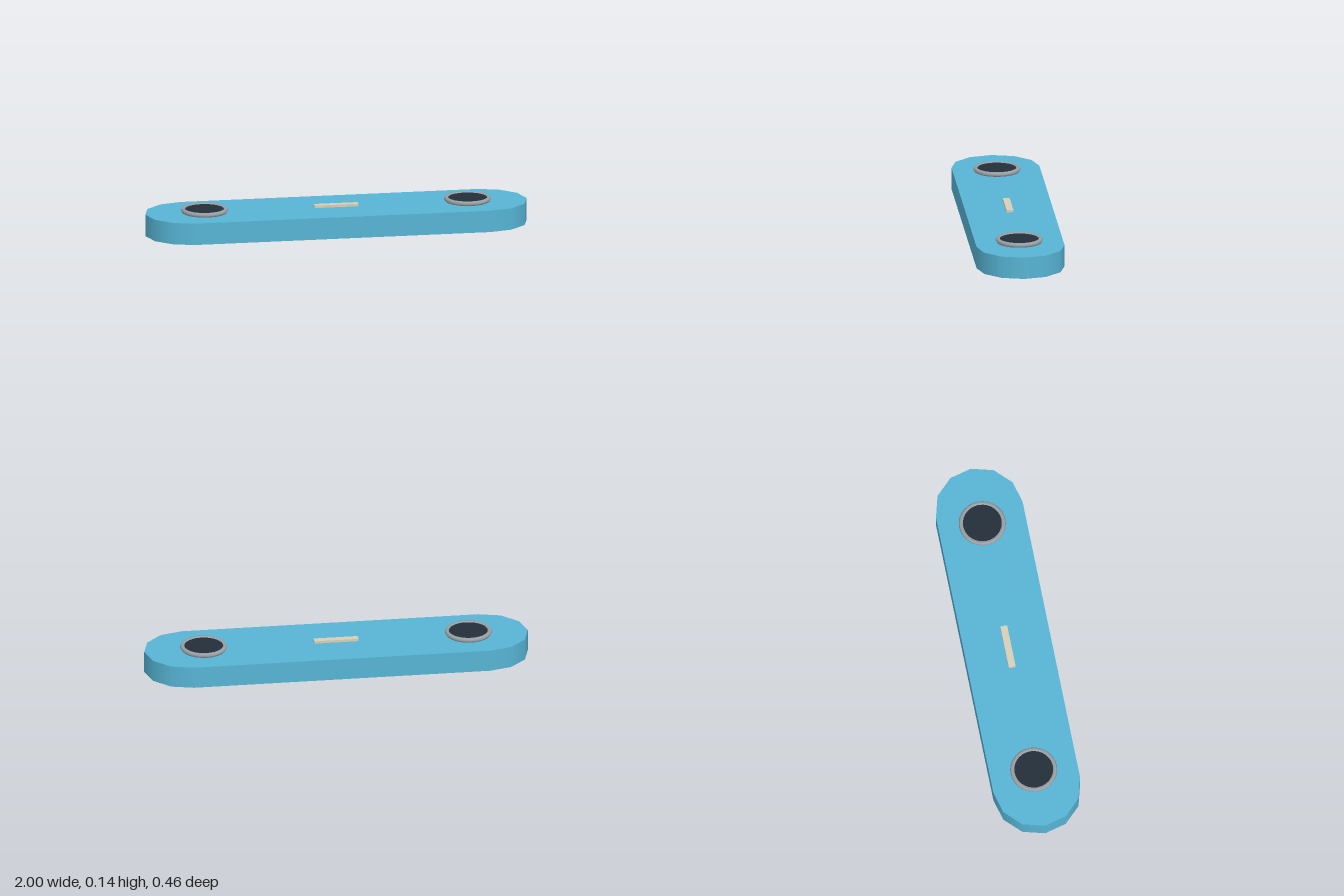
import * as THREE from 'three';

const mat = (name, color) => new THREE.MeshStandardMaterial({ name, color });

export function createModel() {
  const group = new THREE.Group();
  group.name = 'roundedBar';
  const blue = mat('blue body', 0x57b5d5);
  const metal = mat('grey metal', 0x9aa3a8);
  const dark = mat('dark recess', 0x242f3a);
  const cream = mat('cream plate', 0xd6cfb8);

  const add = (name, geometry, material, x, y) => {
    const mesh = new THREE.Mesh(geometry, material);
    mesh.name = name;
    mesh.position.set(x, y, 0);
    group.add(mesh);
  };

  const H = 0.114, R = 0.228, END = 1 - R, HOLE = 0.69;

  // Straight middle of the bar
  add('barMiddle', new THREE.BoxGeometry(2 * END, H, 2 * R), blue, 0, H / 2);

  for (const side of [1, -1]) {
    const label = side > 0 ? 'left' : 'right';
    // Half-round end
    const start = side > 0 ? 0 : Math.PI;
    add(label + 'End', new THREE.CylinderGeometry(R, R, H, 6, 1, false, start, Math.PI), blue, side * END, H / 2);
    // Raised ring around the hole
    const ring = new THREE.TorusGeometry(0.1095, 0.0125, 6, 28).rotateX(-Math.PI / 2);
    add(label + 'Ring', ring, metal, side * HOLE, 0.125);
    // Dark disc inside the ring
    add(label + 'Hole', new THREE.CylinderGeometry(0.103, 0.103, 0.03, 24), dark, side * HOLE, 0.116);
  }

  // Small plate in the middle of the top
  add('centrePlate', new THREE.BoxGeometry(0.23, 0.014, 0.036), cream, 0, 0.12);
  return group;
}
